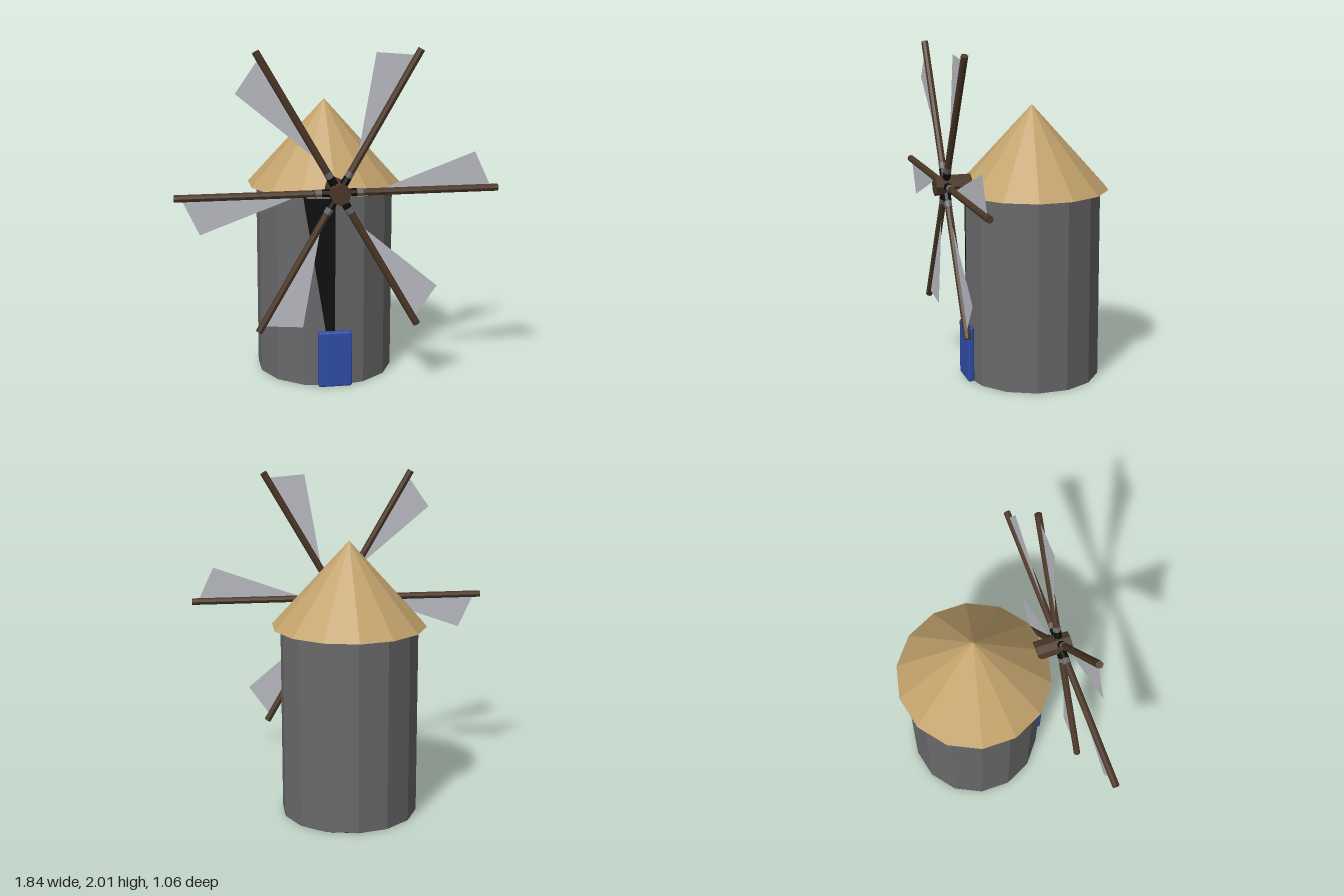
import * as THREE from 'three';
import { RoundedBoxGeometry } from 'three/addons/geometries/RoundedBoxGeometry.js';

const SIDES = 14, CENTRE_Z = -0.067, HUB_Y = 1.2, SAIL_Z = 0.465;
const TOWER_R = 0.41, TOWER_H = 1.14;

function material(name, color, flatShading = true, side = THREE.FrontSide) {
  const m = new THREE.MeshStandardMaterial({ color, flatShading, side });
  m.name = name;
  return m;
}

export function createModel() {
  const stone = material('stoneGrey', 0x69696b);
  const thatch = material('thatchTan', 0xc2a26c);
  const wood = material('darkWood', 0x4c3828);
  const canvas = material('sailCanvas', 0xbcbdc4, true, THREE.DoubleSide);
  const paint = material('doorBlue', 0x2e4da8);
  const soot = material('sootBlack', 0x0b0b0b, true, THREE.DoubleSide);

  const model = new THREE.Group();
  model.name = 'windmill';
  const add = (parent, name, geometry, mat, x = 0, y = 0, z = 0) => {
    const mesh = new THREE.Mesh(geometry, mat);
    mesh.name = name;
    mesh.position.set(x, y, z);
    parent.add(mesh);
    return mesh;
  };

  // Fourteen-sided tower with a corner facing the front
  add(model, 'tower', new THREE.CylinderGeometry(TOWER_R, TOWER_R, TOWER_H, SIDES), stone,
    0, TOWER_H / 2, CENTRE_Z);
  add(model, 'eaveBand', new THREE.CylinderGeometry(0.405, 0.405, 0.012, SIDES), soot,
    0, 1.144, CENTRE_Z);

  // Dark triangular face above the door
  const a = (2 * Math.PI) / SIDES, R = TOWER_R + 0.002;
  const panel = new THREE.BufferGeometry().setFromPoints([
    new THREE.Vector3(-R * Math.sin(a), TOWER_H, R * Math.cos(a)),
    new THREE.Vector3(0, 0, R),
    new THREE.Vector3(0, TOWER_H, R),
  ]);
  panel.computeVertexNormals();
  add(model, 'darkWallPanel', panel, soot, 0, 0, CENTRE_Z);

  // Dark rear part of the underside
  const rear = new THREE.Shape();
  for (let i = 4; i <= 10; i++) {
    const x = TOWER_R * Math.sin(i * a), z = TOWER_R * Math.cos(i * a);
    if (i === 4) rear.moveTo(x, z); else rear.lineTo(x, z);
  }
  const underside = add(model, 'darkUnderside', new THREE.ShapeGeometry(rear), soot, 0, -0.001, CENTRE_Z);
  underside.rotation.x = Math.PI / 2;

  // Conical roof
  add(model, 'roof', new THREE.ConeGeometry(0.46, 0.505, SIDES), thatch, 0, 1.4025, CENTRE_Z);

  // Door
  add(model, 'door', new RoundedBoxGeometry(0.2, 0.34, 0.04, 2, 0.012), paint, 0, 0.171, 0.345);

  // Rotor: hub and six arms
  const rotor = new THREE.Group();
  rotor.name = 'rotor';
  rotor.position.set(0, HUB_Y, SAIL_Z);
  model.add(rotor);
  const hub = add(rotor, 'hub', new THREE.CylinderGeometry(0.06, 0.06, 0.215, 8), wood, 0, 0, -0.0425);
  hub.rotation.x = Math.PI / 2;
  const axle = add(rotor, 'axle', new THREE.CylinderGeometry(0.025, 0.025, 0.25, 8), wood, 0, 0, -0.2);
  axle.rotation.x = Math.PI / 2;

  // Rod lying along x from one radius to another
  const rod = (from, to, r) => new THREE.CylinderGeometry(r, r, to - from, 8)
    .rotateZ(-Math.PI / 2).translate((from + to) / 2, 0, 0);
  const spar = rod(0, 0.918, 0.021);
  const collar = rod(0.04, 0.1, 0.024);
  const sleeve = rod(0.1, 0.135, 0.023);
  const sail = new THREE.ShapeGeometry(new THREE.Shape([
    new THREE.Vector2(0.2, 0), new THREE.Vector2(0.88, 0), new THREE.Vector2(0.78, 0.212),
  ]));
  for (let i = 0; i < 6; i++) {
    const arm = new THREE.Group();
    arm.name = `arm${i + 1}`;
    arm.rotation.z = (i * Math.PI) / 3;
    rotor.add(arm);
    add(arm, 'spar', spar, wood);
    add(arm, 'collar', collar, soot);
    add(arm, 'sleeve', sleeve, stone);
    add(arm, 'sail', sail, canvas);
  }
  return model;
}
